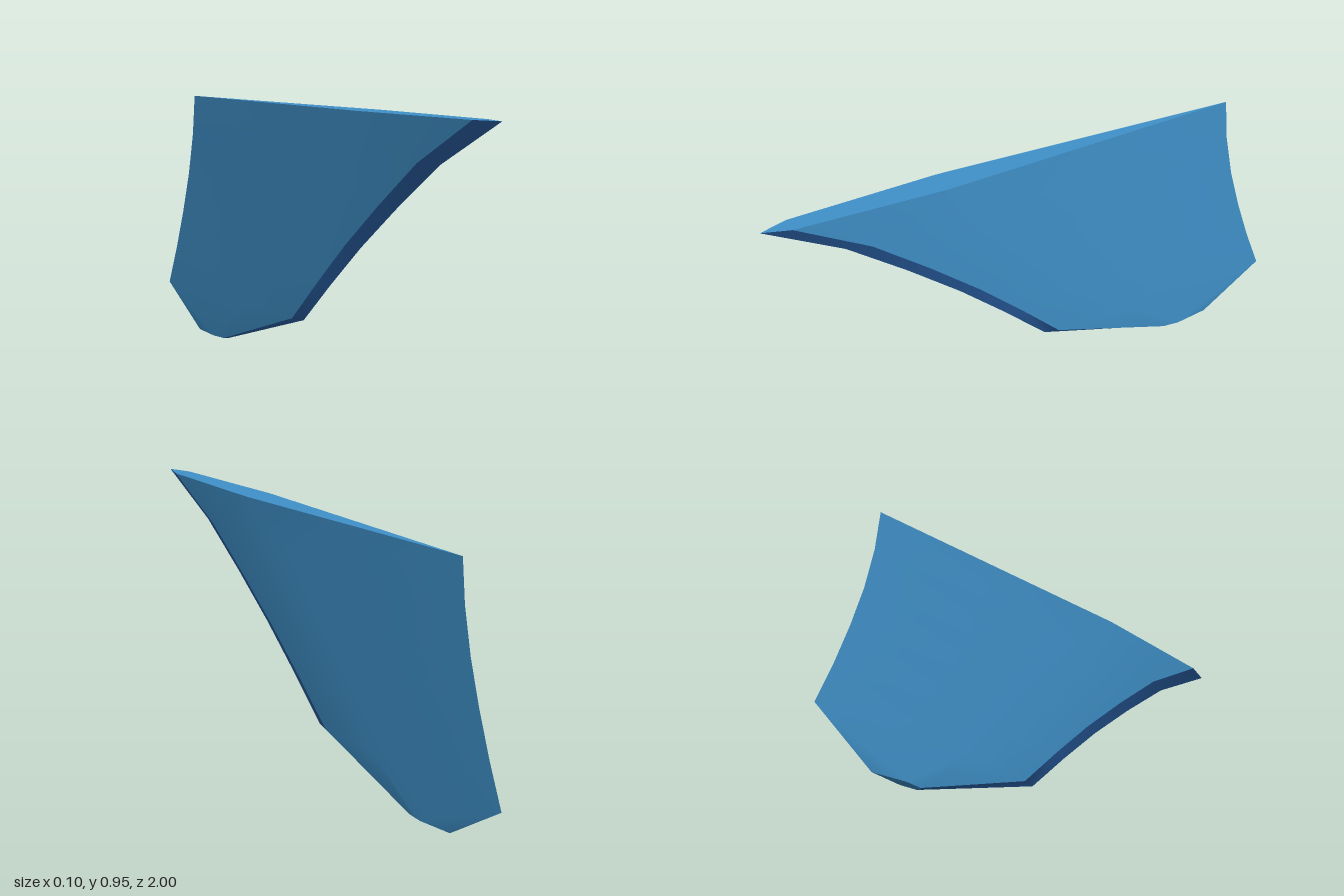
import * as THREE from 'three';

// Fin outline from root (top) to tip: [height, leading z, trailing z]
const OUTLINE = [
  [0.955, 1.0, -0.78], [0.8, 0.72, -0.797], [0.637, 0.505, -0.832],
  [0.478, 0.31, -0.88], [0.32, 0.135, -0.936], [0.163, -0.03, -1.0],
  [0, -0.55, -0.76],
];
// Half of the blade section: [fraction of chord, fraction of half thickness]
const SECTION = [[0, 0], [0.055, 0.62], [0.36, 1], [1, 0]];

function point([y, lead, trail], [along, thick], side) {
  const half = 0.018 + 0.034 * y / 0.955;
  return [side * half * thick, y, lead + (trail - lead) * along];
}

function mesh(name, positions, index, color) {
  const geometry = new THREE.BufferGeometry();
  geometry.setAttribute('position', new THREE.Float32BufferAttribute(positions, 3));
  geometry.setIndex(index);
  geometry.computeVertexNormals();
  const result = new THREE.Mesh(geometry, new THREE.MeshStandardMaterial({ color }));
  result.name = name;
  return result;
}

// Smooth skin through the chosen section points, from root to tip
function skin(name, columns, side, color) {
  const positions = [], index = [], n = columns.length;
  OUTLINE.forEach((level, i) => {
    columns.forEach((column, j) => {
      positions.push(...point(level, column, side));
      if (i === 0 || j === 0) return;
      const d = i * n + j, c = d - 1, b = d - n, a = b - 1;
      if (side > 0) index.push(a, c, b, b, c, d);
      else index.push(a, b, c, b, d, c);
    });
  });
  return mesh(name, positions, index, color);
}

// Flat end cap shaped like the full section
function cap(name, level, up, color) {
  const loop = [
    ...SECTION.map((s) => point(level, s, 1)),
    ...SECTION.slice(1, -1).reverse().map((s) => point(level, s, -1)),
  ];
  const index = [];
  for (let i = 1; i < loop.length - 1; i++) {
    if (up) index.push(0, i, i + 1);
    else index.push(0, i + 1, i);
  }
  return mesh(name, loop.flat(), index, color);
}

export function createModel() {
  const group = new THREE.Group();
  group.name = 'fin';
  const blue = 0x3f90c8, navy = 0x2a60a4;

  for (const side of [1, -1]) {
    const label = side > 0 ? 'left' : 'right';
    group.add(skin(label + 'Face', SECTION.slice(1), side, blue));
    group.add(skin(label + 'LeadingBevel', SECTION.slice(0, 2), side, navy));
  }
  group.add(cap('rootCap', OUTLINE[0], true, blue));
  group.add(cap('tipCap', OUTLINE[OUTLINE.length - 1], false, blue));
  return group;
}
